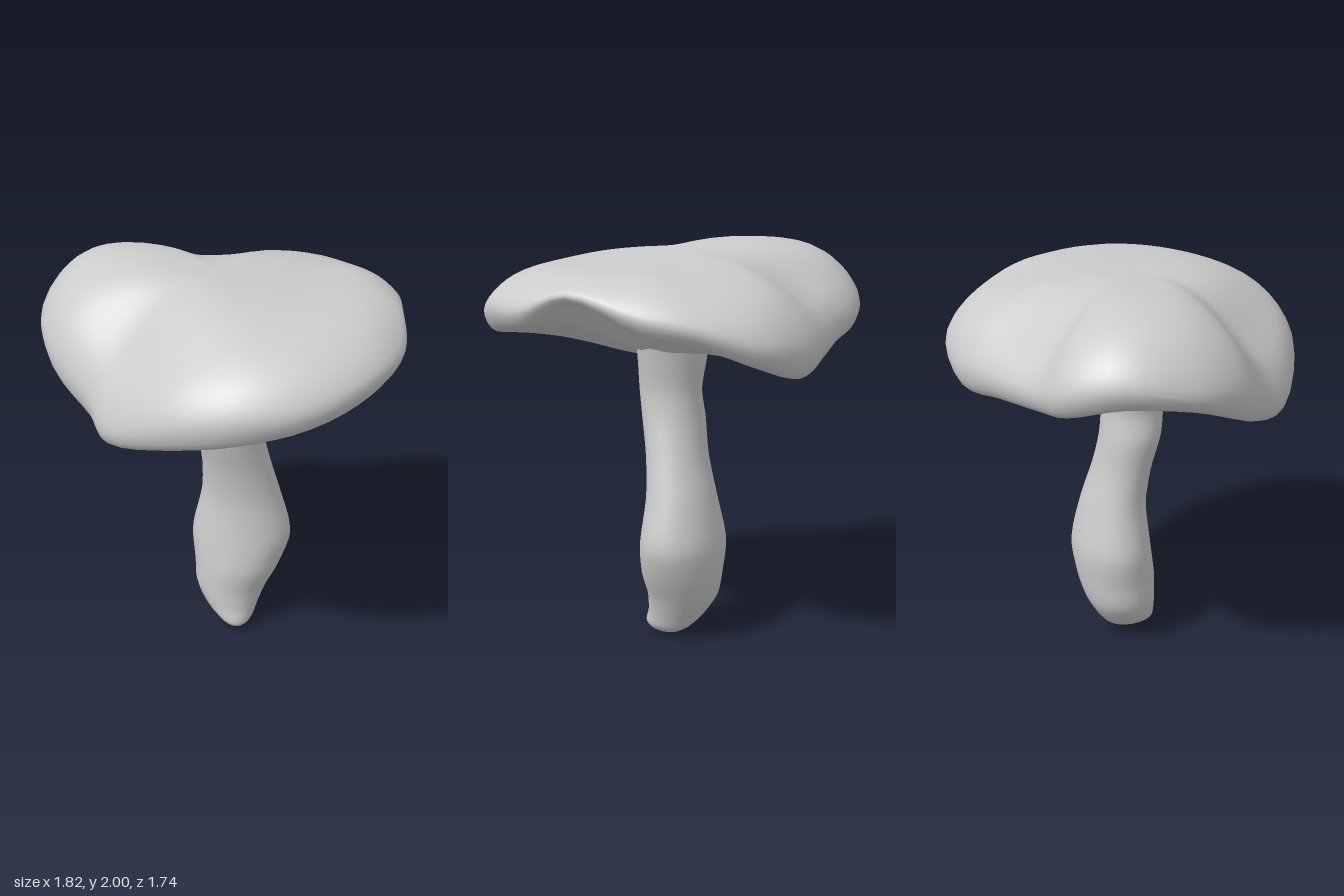
import * as THREE from 'three';
import { mergeVertices } from 'three/addons/utils/BufferGeometryUtils.js';

const V = (x, y, z) => new THREE.Vector3(x, y, z);

// Skin a list of closed rings, ordered from the top of the part downward
function skin(rings) {
  const n = rings[0].length, pos = [], index = [];
  rings.forEach(ring => ring.forEach(p => pos.push(p.x, p.y, p.z)));
  for (let i = 0; i < rings.length - 1; i++) {
    for (let j = 0; j < n; j++) {
      const a = i * n + j, c = i * n + (j + 1) % n, b = a + n, d = c + n;
      index.push(a, c, b, c, d, b);
    }
  }
  let geo = new THREE.BufferGeometry();
  geo.setAttribute('position', new THREE.Float32BufferAttribute(pos, 3));
  geo.setIndex(index);
  geo = mergeVertices(geo, 1e-4);
  geo.computeVertexNormals();
  return geo;
}

// Rim stations: x, z, shoulder height, rim height, lip height
const RIM = [
  [0.88, 0, 1.93, 1.85, 1.81], [0.91, 0.25, 1.92, 1.76, 1.69], [0.8, 0.53, 1.9, 1.73, 1.63],
  [0.55, 0.77, 1.87, 1.66, 1.56], [0.22, 0.87, 1.84, 1.62, 1.5], [-0.1, 0.82, 1.78, 1.55, 1.43],
  [-0.45, 0.59, 1.69, 1.4, 1.32], [-0.57, 0.4, 1.74, 1.47, 1.35], [-0.8, 0.18, 1.86, 1.6, 1.47],
  [-0.91, -0.12, 1.93, 1.67, 1.59], [-0.85, -0.45, 1.95, 1.73, 1.63], [-0.65, -0.66, 1.9, 1.67, 1.56],
  [-0.4, -0.7, 1.8, 1.6, 1.51], [-0.1, -0.8, 1.79, 1.59, 1.49], [0.2, -0.87, 1.84, 1.58, 1.46],
  [0.48, -0.82, 1.86, 1.63, 1.54], [0.7, -0.6, 1.89, 1.72, 1.65], [0.83, -0.37, 1.92, 1.77, 1.7],
];

function capGeometry() {
  const around = 72, along = 36, cx = 0.05, cz = 0;
  const outline = new THREE.CatmullRomCurve3(RIM.map(r => V(r[0], r[3], r[1])), true, 'centripetal');
  const heights = new THREE.CatmullRomCurve3(RIM.map(r => V(r[2], r[4], 0)), true, 'catmullrom');
  const columns = [];
  for (let j = 0; j < around; j++) {
    const rim = outline.getPoint(j / around), h = heights.getPoint(j / around);
    const at = (t, y) => V(cx + (rim.x - cx) * t, y, cz + (rim.z - cz) * t);
    const S = h.x, L = h.y, B = rim.y;
    // Section from the crown, over the rolled rim, to the underside centre
    columns.push(new THREE.CatmullRomCurve3([
      at(0, 1.965), at(0.25, 1.97 + (S - 1.93) * 0.06 - rim.x * 0.015),
      at(0.5, 1.97 * 0.65 + S * 0.35 + 0.01 - rim.x * 0.025),
      at(0.78, S), at(0.93, S * 0.55 + B * 0.45), at(1, B), at(0.95, L),
      at(0.8, L + 0.005), at(0.5, L * 0.5 + 0.76), at(0.2, 1.49), at(0, 1.49),
    ], false, 'centripetal').getPoints(along));
  }
  return skin(columns[0].map((_, i) => columns.map(col => col[i])));
}

// Stem sections: height, min x, max x, min z, max z
const STEM = [
  [1.54, -0.12, 0.265, -0.19, 0.16], [1.42, -0.11, 0.24, -0.175, 0.16], [1.28, -0.08, 0.215, -0.16, 0.16],
  [1.13, -0.105, 0.225, -0.17, 0.14], [0.95, -0.09, 0.26, -0.2, 0.095], [0.75, -0.1, 0.31, -0.255, 0.07],
  [0.52, -0.15, 0.365, -0.3, 0.09], [0.35, -0.135, 0.315, -0.285, 0.11], [0.22, -0.125, 0.25, -0.25, 0.105],
  [0.12, -0.07, 0.21, -0.19, 0.11], [0.05, 0.01, 0.185, -0.13, 0.12], [0.015, 0.07, 0.155, -0.07, 0.08],
  [0, 0.115, 0.115, -0.01, -0.01],
];

function stemGeometry() {
  const around = 28;
  const sides = [[1, 3], [2, 4]].map(([a, b]) =>
    new THREE.CatmullRomCurve3(STEM.map(s => V(s[a], s[0], s[b])), false, 'catmullrom', 0.4).getPoints(48));
  return skin(sides[0].map((lo, i) => {
    const hi = sides[1][i];
    return Array.from({ length: around }, (_, j) => {
      const t = j / around * Math.PI * 2;
      return V((lo.x + hi.x) / 2 + (hi.x - lo.x) / 2 * Math.cos(t), Math.max(0, lo.y),
        (lo.z + hi.z) / 2 + (hi.z - lo.z) / 2 * Math.sin(t));
    });
  }));
}

export function createModel() {
  const group = new THREE.Group();
  group.name = 'mushroom';
  const material = new THREE.MeshStandardMaterial({ color: 0xcccccc, side: THREE.DoubleSide });
  for (const [name, geometry] of [['cap', capGeometry()], ['stem', stemGeometry()]]) {
    const mesh = new THREE.Mesh(geometry, material);
    mesh.name = name;
    group.add(mesh);
  }
  return group;
}
